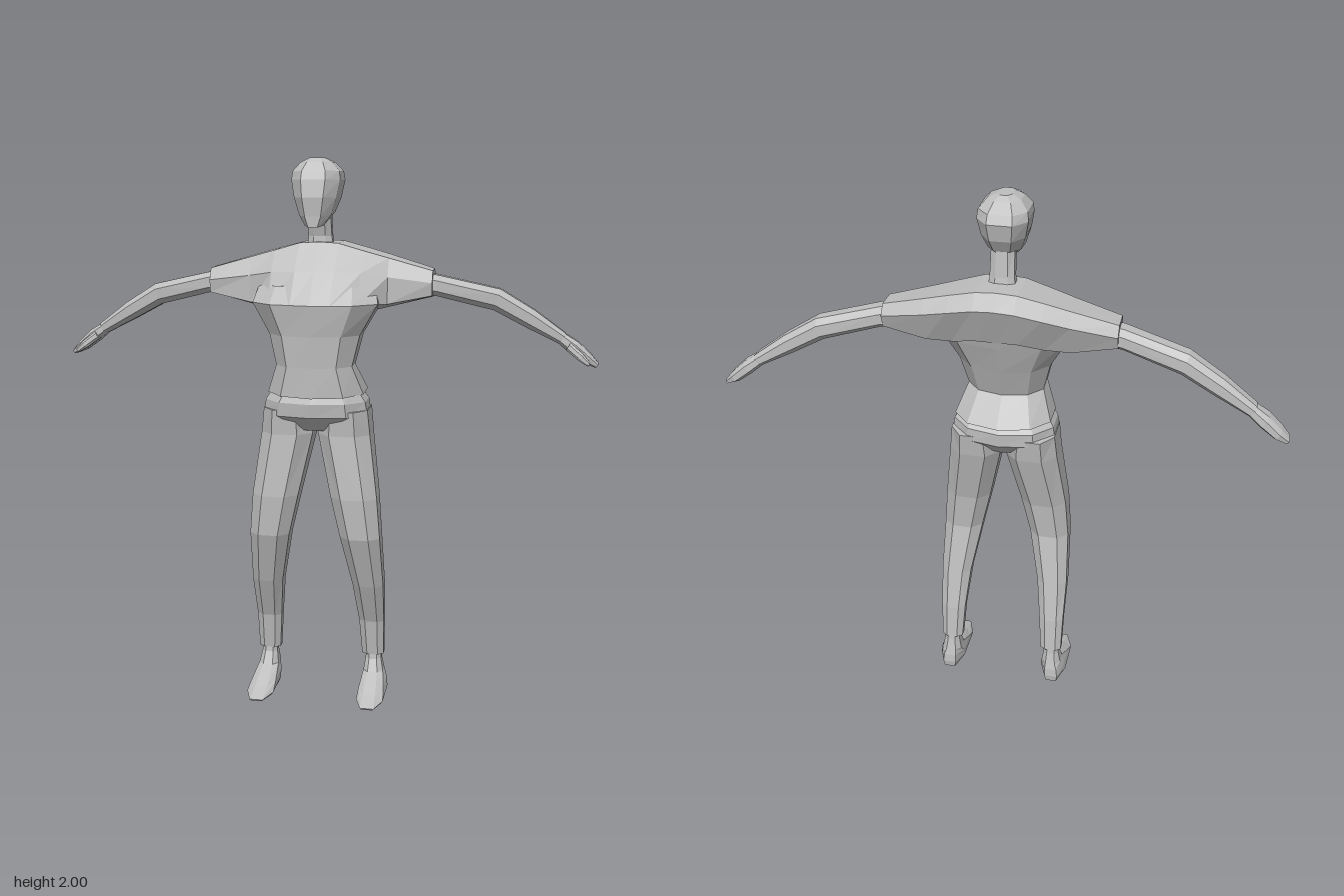
import * as THREE from 'three';

const grey = new THREE.MeshStandardMaterial({ color: 0xbfbfbf, flatShading: true });
grey.name = 'plainGrey';

// Skins a list of rings (arrays of [x, y, z]), closes both ends and faces it outward
function loft(name, rings, mirror = 1) {
  const tris = [];
  const n = rings[0].length;
  for (let i = 0; i < rings.length - 1; i++) {
    for (let j = 0; j < n; j++) {
      const k = (j + 1) % n;
      const a = rings[i][j], b = rings[i][k], c = rings[i + 1][k], d = rings[i + 1][j];
      tris.push([a, b, c], [a, c, d]);
    }
  }
  const mean = (r) => [0, 1, 2].map((c) => r.reduce((s, p) => s + p[c], 0) / n);
  const first = rings[0], last = rings[rings.length - 1];
  const m0 = mean(first), m1 = mean(last);
  for (let j = 0; j < n; j++) {
    const k = (j + 1) % n;
    tris.push([m0, first[k], first[j]], [m1, last[j], last[k]]);
  }
  const v = (p) => new THREE.Vector3(p[0] * mirror, p[1], p[2]);
  let volume = 0;
  const corners = tris.map((t) => t.map(v));
  for (const [a, b, c] of corners) volume += a.dot(b.clone().cross(c));
  const points = corners.flatMap(([a, b, c]) => (volume < 0 ? [a, c, b] : [a, b, c]));
  const geometry = new THREE.BufferGeometry().setFromPoints(points);
  geometry.computeVertexNormals();
  const mesh = new THREE.Mesh(geometry, grey);
  mesh.name = name;
  return mesh;
}

// Rounded polygon in unit size; power below 1 makes it boxier
function outline(sides, power, turn = 0.5) {
  return Array.from({ length: sides }, (_, i) => {
    const t = ((i + turn) / sides) * Math.PI * 2;
    const f = (u) => Math.sign(u) * Math.pow(Math.abs(u), power);
    return [f(Math.sin(t)), f(Math.cos(t))];
  });
}

// Level ring: x from x0 to x1, z from back to front, tilt raises the back above the front
const level = (shape, [y, x0, x1, front, back, tilt = 0]) => shape.map(([u, w]) => [
  (x0 + x1) / 2 + (u * (x1 - x0)) / 2, y - w * tilt, (front + back) / 2 + (w * (front - back)) / 2]);

// Upright ring across an arm: centre x, y, z with half height and half depth
const upright = (shape, [x, y, z, h, d, lean = 0]) => shape.map(([u, w]) => [x + u * lean, y + u * h, z + w * d]);

export function createModel() {
  const figure = new THREE.Group();
  figure.name = 'figure';
  const oct = outline(8, 0.8);
  const ten = outline(10, 0.9, 0);

  // Head: jaw, cheeks, brow and crown
  figure.add(loft('head', [
    [1.775, -0.035, 0.035, 0.13, 0.01, 0.012],
    [1.81, -0.06, 0.06, 0.133, -0.055, 0.01],
    [1.865, -0.08, 0.08, 0.14, -0.085],
    [1.925, -0.092, 0.092, 0.13, -0.1],
    [1.955, -0.088, 0.088, 0.118, -0.085],
    [1.985, -0.06, 0.06, 0.09, -0.045],
    [2.0, -0.028, 0.028, 0.062, -0.02],
  ].map((r) => level(oct, r))));

  // Neck
  figure.add(loft('neck', [
    [1.66, -0.055, 0.055, 0.005, -0.075],
    [1.73, -0.045, 0.045, 0.0, -0.06],
    [1.82, -0.043, 0.043, 0.025, -0.05],
  ].map((r) => level(oct, r))));

  // Shirt body from hem to chest
  figure.add(loft('shirtBody', [
    [1.18, -0.182, 0.182, 0.18, -0.14, 0.008],
    [1.28, -0.143, 0.143, 0.18, -0.05],
    [1.39, -0.17, 0.17, 0.186, -0.09],
    [1.5, -0.235, 0.235, 0.2, -0.13],
    [1.56, -0.22, 0.22, 0.14, -0.15],
  ].map((r) => level(ten, r))));

  // Shoulders and sleeves: [y, z] sections running out along x
  const sections = [
    [0, [1.5, 0.2], [1.61, 0.105], [1.71, 0.015], [1.712, -0.14], [1.67, -0.2], [1.53, -0.14], [1.47, 0]],
    [0.07, [1.5, 0.188], [1.61, 0.1], [1.706, 0.015], [1.708, -0.14], [1.665, -0.197], [1.53, -0.14], [1.47, 0]],
    [0.16, [1.5, 0.13], [1.605, 0.075], [1.68, 0.01], [1.685, -0.13], [1.645, -0.186], [1.51, -0.12], [1.46, 0]],
    [0.25, [1.495, 0.035], [1.59, 0.035], [1.655, 0], [1.66, -0.12], [1.62, -0.165], [1.51, -0.12], [1.48, -0.04]],
    [0.405, [1.525, 0.005], [1.57, 0.012], [1.612, -0.01], [1.615, -0.095], [1.58, -0.122], [1.535, -0.105], [1.518, -0.05]],
  ].map(([x, ...pts]) => pts.map(([y, z]) => [x, y, z]));
  const otherSide = sections.slice(1).reverse().map((r) => r.map(([x, y, z]) => [-x, y, z]));
  figure.add(loft('shoulders', [...otherSide, ...sections]));

  // Hips
  figure.add(loft('hips', [
    [1.045, -0.1, 0.1, 0.115, -0.06],
    [1.1, -0.198, 0.198, 0.168, -0.11],
    [1.15, -0.19, 0.19, 0.175, -0.112],
    [1.21, -0.15, 0.15, 0.15, -0.05],
  ].map((r) => level(ten, r))));

  for (const [side, s] of [['left', 1], ['right', -1]]) {
    // Trouser leg
    figure.add(loft(side + 'Leg', [
      [1.12, 0.015, 0.195, 0.145, -0.1],
      [1.03, 0.004, 0.205, 0.137, -0.085],
      [0.8, 0.055, 0.235, 0.15, -0.025],
      [0.65, 0.09, 0.246, 0.14, -0.01],
      [0.45, 0.13, 0.252, 0.07, -0.045],
      [0.29, 0.148, 0.248, 0.002, -0.072],
      [0.15, 0.158, 0.245, -0.02, -0.085],
    ].map((r) => level(oct, r)), s));

    // Foot: ankle down to a sole that stretches forward
    figure.add(loft(side + 'Foot', [
      [0.19, 0.175, 0.232, -0.03, -0.075],
      [0.13, 0.172, 0.235, -0.022, -0.083],
      [0.085, 0.165, 0.245, 0.0, -0.095],
      [0.05, 0.158, 0.258, 0.11, -0.105, 0.012],
      [0.022, 0.156, 0.264, 0.182, -0.11, 0.006],
      [0.005, 0.165, 0.255, 0.178, -0.105, -0.005],
    ].map((r) => level(oct, r)), s));

    // Arm
    figure.add(loft(side + 'Arm', [
      [0.36, 1.567, -0.055, 0.04, 0.052],
      [0.42, 1.558, -0.058, 0.04, 0.052],
      [0.63, 1.508, -0.097, 0.04, 0.047, 0.012],
      [0.75, 1.44, -0.11, 0.033, 0.042, 0.015],
      [0.865, 1.37, -0.122, 0.02, 0.036, 0.012],
    ].map((r) => upright(oct, r)), s));

    // Hand and thumb
    figure.add(loft(side + 'Hand', [
      [0.855, 1.375, -0.122, 0.018, 0.032, 0.012],
      [0.905, 1.34, -0.126, 0.022, 0.044, 0.014],
      [0.955, 1.3, -0.13, 0.018, 0.044, 0.012],
      [0.99, 1.275, -0.13, 0.008, 0.03, 0.006],
    ].map((r) => upright(oct, r)), s));
    figure.add(loft(side + 'Thumb', [
      [0.885, 1.345, -0.095, 0.014, 0.016, 0.008],
      [0.93, 1.31, -0.075, 0.013, 0.013, 0.008],
      [0.96, 1.285, -0.07, 0.007, 0.008, 0.004],
    ].map((r) => upright(oct, r)), s));
  }
  return figure;
}
